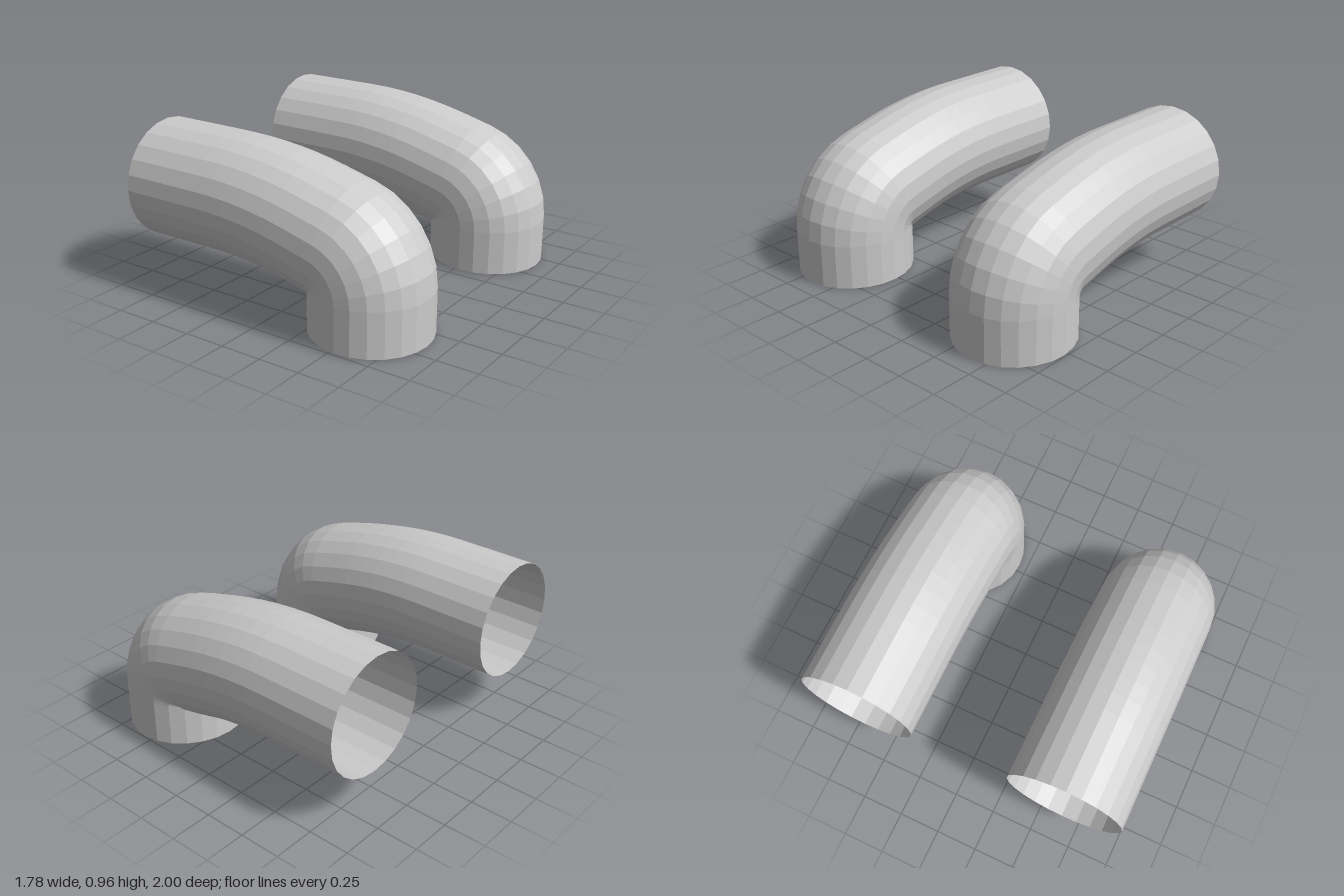
import * as THREE from 'three';

const RADIUS = 0.35, SIDES = 24;
const SLOPE = THREE.MathUtils.degToRad(14.5);

// Centre line as stations: x, y and downward pitch
function pipeStations() {
  const stations = [{ x: -0.89, y: 0.61, a: 0 }];
  // straight run, then a long gentle bend
  const R = 2.32, startX = -0.395;
  for (let i = 0; i <= 6; i++) {
    const a = SLOPE * i / 6;
    stations.push({ x: startX + R * Math.sin(a), y: 0.61 - R * (1 - Math.cos(a)), a });
  }
  // tight elbow turning straight down
  const r = 0.225;
  for (let i = 0; i <= 6; i++) {
    const a = SLOPE + (Math.PI / 2 - SLOPE) * i / 6;
    stations.push({ x: 0.315 + r * Math.sin(a), y: 0.27 + r * Math.cos(a), a });
  }
  // slightly tilted lower mouth
  stations.push({ x: 0.538, y: 0.01, a: Math.PI / 2 + 0.028 });
  return stations;
}

// Open tube: one ring of vertices per station
function pipeGeometry() {
  const stations = pipeStations();
  const positions = [], indices = [];
  for (const { x, y, a } of stations) {
    for (let j = 0; j < SIDES; j++) {
      const t = j / SIDES * Math.PI * 2;
      const up = RADIUS * Math.cos(t);
      positions.push(x + up * Math.sin(a), y + up * Math.cos(a), RADIUS * Math.sin(t));
    }
  }
  for (let i = 0; i < stations.length - 1; i++) {
    for (let j = 0; j < SIDES; j++) {
      const k = (j + 1) % SIDES;
      const a = i * SIDES + j, b = i * SIDES + k;
      indices.push(a, b, a + SIDES, b, b + SIDES, a + SIDES);
    }
  }
  const geometry = new THREE.BufferGeometry();
  geometry.setAttribute('position', new THREE.Float32BufferAttribute(positions, 3));
  geometry.setIndex(indices);
  geometry.computeVertexNormals();
  return geometry;
}

export function createModel() {
  const model = new THREE.Group();
  model.name = 'elbowPipes';
  const material = new THREE.MeshStandardMaterial({
    color: 0xcccccc, flatShading: true, side: THREE.DoubleSide,
  });
  const geometry = pipeGeometry();
  // matching pair, front and back
  for (const [name, z] of [['frontPipe', 0.65], ['backPipe', -0.65]]) {
    const pipe = new THREE.Mesh(geometry, material);
    pipe.name = name;
    pipe.position.z = z;
    model.add(pipe);
  }
  return model;
}
